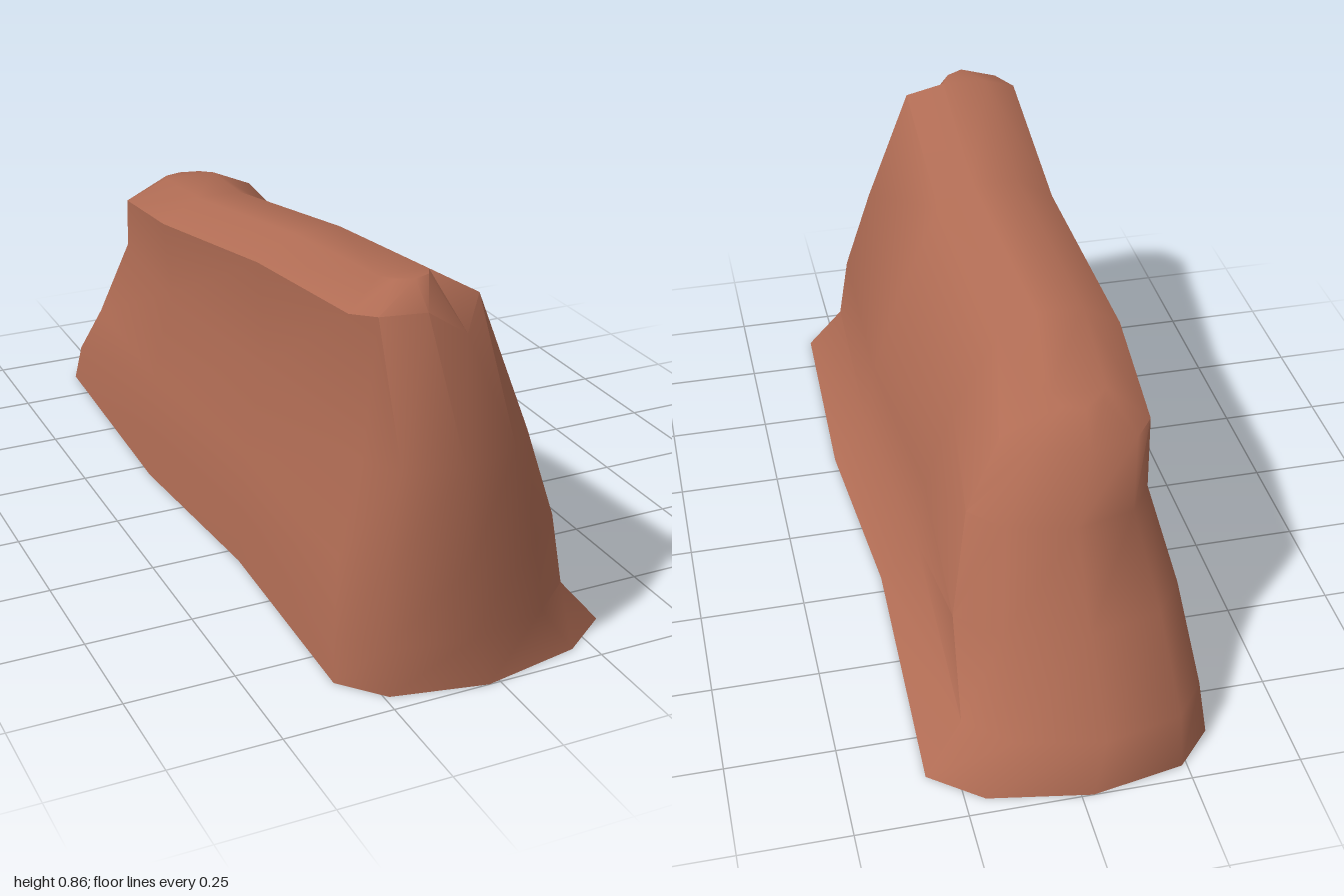
import * as THREE from 'three';
import { toCreasedNormals } from 'three/addons/utils/BufferGeometryUtils.js';

// Footprint, counter-clockwise from above: [across 0..1, end (1 front, -1 back, 0 middle), inset from end or middle z]
const OUTLINE = [
  [0.46, 1, 0], [0.82, 1, 0.045], [1, 1, 0.13], [1, 0, 0.3], [1, 0, -0.2],
  [1, -1, 0.13], [0.82, -1, 0.04], [0.46, -1, 0], [0.13, -1, 0.04],
  [0, -1, 0.13], [0, 0, -0.2], [0, 0, 0.3], [0, 1, 0.14], [0.13, 1, 0.045],
];

// Levels from the ground to the crest; slope tilts a level along z
const LEVELS = [
  { y: 0, slope: 0, left: -0.322, right: 0.32, front: 1, back: -1, inset: 1, flare: 0 },
  { y: 0.107, slope: 0, left: -0.315, right: 0.23, front: 0.985, back: -0.955, inset: 1, flare: 0 },
  { y: 0.275, slope: 0, left: -0.302, right: 0.205, front: 0.975, back: -0.8, inset: 1, flare: 0.01 },
  { y: 0.49, slope: 0, left: -0.248, right: 0.135, front: 0.95, back: -0.69, inset: 0.85, flare: 0.03 },
  { y: 0.70, slope: 0.13, left: -0.265, right: 0.028, front: 0.88, back: -0.6, inset: 0.6, flare: 0.05 },
  { y: 0.755, slope: 0.13, left: -0.175, right: -0.063, front: 0.81, back: -0.53, inset: 0.45, flare: 0.02 },
];

function levelPoint(level, [across, end, offset], column) {
  let z = offset;
  if (end === 1) z = level.front - offset * level.inset;
  if (end === -1) z = level.back + offset * level.inset;
  // The middle of the long sides sways gently from left to right
  const sway = end === 0 ? (z > 0 ? 0.017 : -0.02) : 0;
  const flare = end === -1 ? level.flare * across : 0;
  const x = THREE.MathUtils.lerp(level.left, level.right, across) + sway + flare;
  // The front right shoulder is chipped lower
  const chip = column === 1 && level.y === 0.70 ? 0.07 : 0;
  return [x, level.y + level.slope * z - chip, z];
}

function rockGeometry() {
  const n = OUTLINE.length;
  const positions = [];
  const index = [];
  for (const level of LEVELS) {
    OUTLINE.forEach((column, i) => positions.push(...levelPoint(level, column, i)));
  }

  // Walls
  for (let l = 0; l < LEVELS.length - 1; l++) {
    for (let i = 0; i < n; i++) {
      const a = l * n + i;
      const b = l * n + (i + 1) % n;
      index.push(a, b, b + n, a, b + n, a + n);
    }
  }

  // Crest and underside, as strips across the ridge with a fan at each end
  const strips = [[12, 2, 3, 11], [11, 3, 4, 10], [10, 4, 5, 9], [12, 13, 0, 1, 2], [9, 5, 6, 7, 8]];
  const top = (LEVELS.length - 1) * n;
  for (const s of strips) {
    for (let k = 1; k < s.length - 1; k++) {
      index.push(top + s[0], top + s[k], top + s[k + 1]);
      index.push(s[0], s[k + 1], s[k]);
    }
  }

  const geometry = new THREE.BufferGeometry();
  geometry.setAttribute('position', new THREE.Float32BufferAttribute(positions, 3));
  geometry.setIndex(index);
  return toCreasedNormals(geometry, 0.85);
}

export function createModel() {
  const group = new THREE.Group();
  group.name = 'rock';
  const clay = new THREE.MeshStandardMaterial({ color: 0xb06c54 });
  clay.name = 'red clay';
  const body = new THREE.Mesh(rockGeometry(), clay);
  body.name = 'rockBody';
  group.add(body);
  return group;
}
